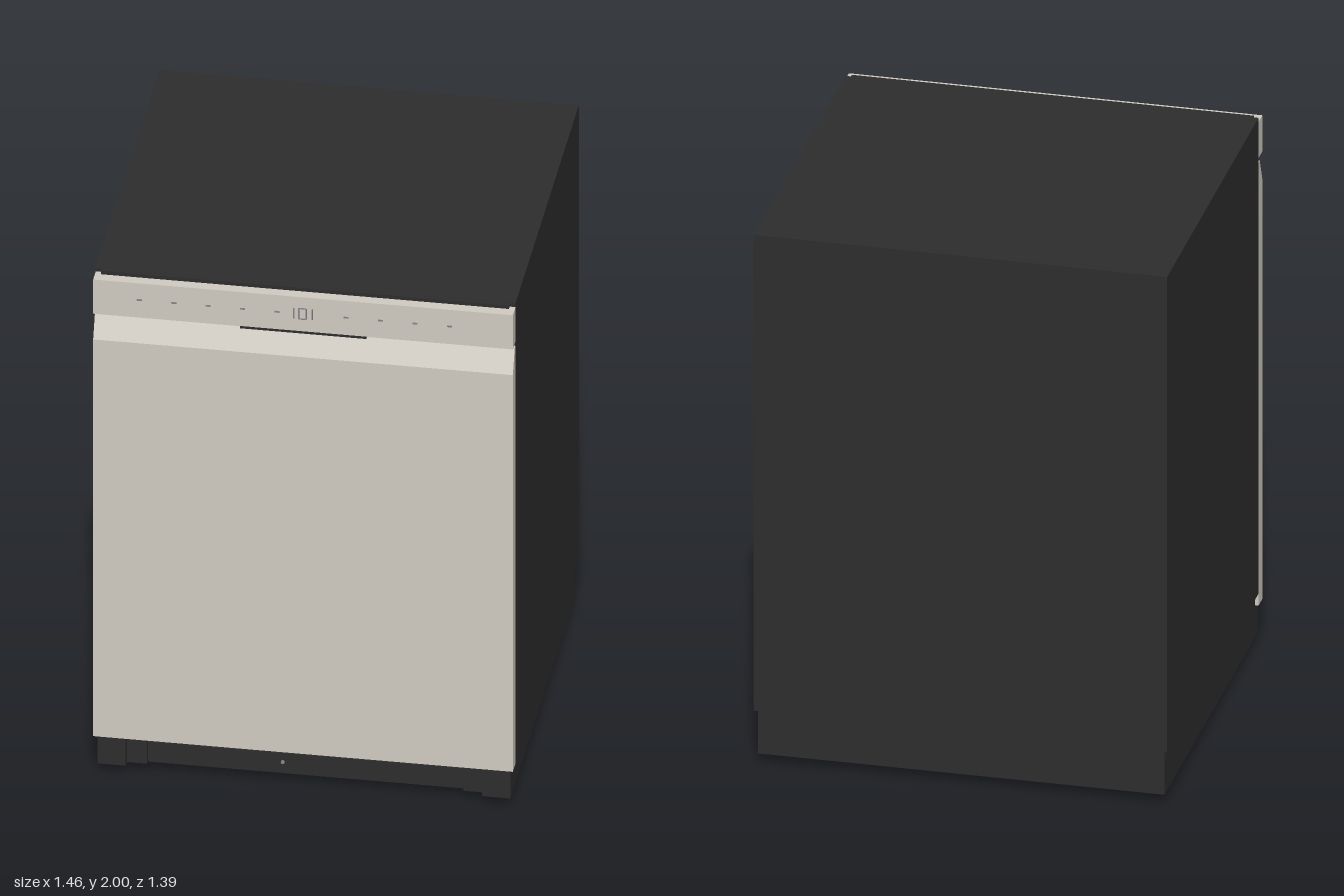
import * as THREE from 'three';

export function createModel() {
  const model = new THREE.Group();
  const mat = (name, color) => {
    const m = new THREE.MeshStandardMaterial({ color });
    m.name = name;
    return m;
  };
  const black = mat('black casing', 0x2d2d2d);
  const steel = mat('warm steel', 0xd0cbc1);
  const grey = mat('grey marking', 0x85858a);

  const add = (name, geometry, material) => {
    const mesh = new THREE.Mesh(geometry, material);
    mesh.name = name;
    model.add(mesh);
    return mesh;
  };
  // Box given by its limits on each axis
  const box = (name, material, x0, x1, y0, y1, z0, z1) => {
    const mesh = add(name, new THREE.BoxGeometry(x1 - x0, y1 - y0, z1 - z0), material);
    mesh.position.set((x0 + x1) / 2, (y0 + y1) / 2, (z0 + z1) / 2);
    return mesh;
  };

  // Cabinet and base
  box('cabinet', black, -0.73, 0.73, 0.2, 2, -0.695, 0.64);
  box('base', black, -0.718, 0.718, 0.035, 0.2, -0.685, 0.605);
  box('topTrim', black, -0.71, 0.71, 1.985, 1.999, 0.64, 0.656);

  // Door: side profile with a sloped finger recess, extruded across the width
  const profile = new THREE.Shape([
    [0.64, 0.155], [0.695, 0.155], [0.695, 1.745], [0.658, 1.83], [0.64, 1.83],
  ].map(([z, y]) => new THREE.Vector2(-z, y)));
  const doorGeometry = new THREE.ExtrudeGeometry(profile, { depth: 1.46, bevelEnabled: false });
  doorGeometry.rotateY(Math.PI / 2);
  doorGeometry.translate(-0.73, 0, 0);
  add('door', doorGeometry, steel);

  // Control panel above the recess
  box('controlPanel', steel, -0.73, 0.73, 1.848, 1.985, 0.64, 0.695);
  box('recessBack', steel, -0.725, 0.725, 1.83, 1.848, 0.636, 0.645);
  box('handleSlot', black, -0.22, 0.22, 1.84, 1.849, 0.645, 0.6955);

  // Button marks and a small display frame
  for (let i = 0; i < 10; i++) {
    if (i === 5) continue;
    const x = -0.57 + i * 0.12;
    box('buttonMark', grey, x - 0.009, x + 0.009, 1.916, 1.922, 0.694, 0.697);
  }
  for (const x of [-0.032, -0.015, 0.011, 0.032]) {
    box('displayUpright', grey, x - 0.002, x + 0.002, 1.898, 1.94, 0.694, 0.697);
  }
  for (const y of [1.898, 1.94]) {
    box('displayRail', grey, -0.015, 0.011, y - 0.002, y + 0.002, 0.694, 0.697);
  }

  // Toe area: corner blocks, kick plate and feet
  for (const s of [-1, 1]) {
    const block = (name, a, b, y0, y1, z0, z1) =>
      box(name, black, Math.min(s * a, s * b), Math.max(s * a, s * b), y0, y1, z0, z1);
    block('cornerBlock', 0.62, 0.718, 0.035, 0.154, 0.6, 0.675);
    block('cornerUpper', 0.62, 0.718, 0.15, 0.2, 0.6, 0.639);
    block('innerBlock', 0.55, 0.62, 0.035, 0.154, 0.6, 0.65);
    block('hingeTab', 0.42, 0.465, 0.115, 0.135, 0.61, 0.64);
    for (const z of [-0.567, 0.573]) {
      const foot = add('foot', new THREE.CylinderGeometry(0.033, 0.033, 0.036, 20), black);
      foot.position.set(s * 0.652, 0.018, z);
    }
  }
  box('kickPlate', black, -0.55, 0.55, 0.035, 0.115, 0.6, 0.635);

  // Tapered tray edge showing below the door
  const tray = new THREE.Shape([
    [-0.52, 0.115], [0.52, 0.115], [0.56, 0.16], [-0.56, 0.16],
  ].map(([x, y]) => new THREE.Vector2(x, y)));
  const trayGeometry = new THREE.ExtrudeGeometry(tray, { depth: 0.02, bevelEnabled: false });
  trayGeometry.translate(0, 0, 0.604);
  add('trayEdge', trayGeometry, steel);
  box('trayLip', grey, -0.285, 0.285, 0.145, 0.155, 0.62, 0.645);
  box('latch', black, -0.15, -0.11, 0.12, 0.144, 0.61, 0.645);

  // Screw on the kick plate
  const screw = add('screw', new THREE.CylinderGeometry(0.007, 0.007, 0.006, 12), grey);
  screw.rotation.x = Math.PI / 2;
  screw.position.set(-0.08, 0.08, 0.636);

  return model;
}
